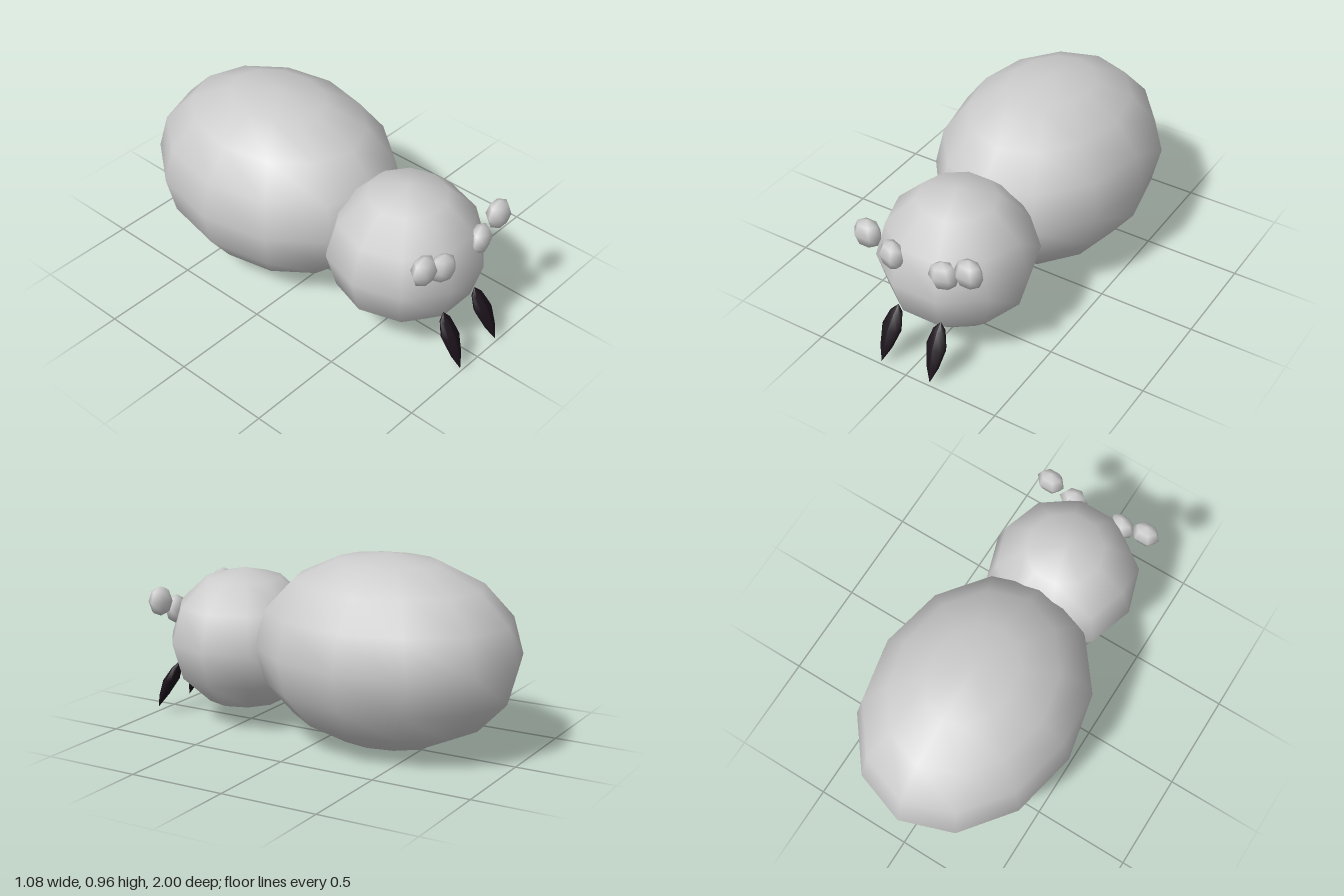
import * as THREE from 'three';

const grey = new THREE.MeshStandardMaterial({ color: 0xcccccc });
const dark = new THREE.MeshStandardMaterial({ color: 0x1a121a });

// Smooth low-poly ellipsoid with its poles on y
function ellipsoid(name, radii, position, widthSegments, heightSegments) {
  const geometry = new THREE.SphereGeometry(1, widthSegments, heightSegments);
  geometry.scale(...radii);
  const mesh = new THREE.Mesh(geometry, grey);
  mesh.name = name;
  mesh.position.set(...position);
  return mesh;
}

// Pointed fang: a flattened spindle sheared forward and outward toward its tip
function fang(name, side) {
  const profile = [[0, 0.025], [0.034, 0.1], [0.055, 0.187], [0.034, 0.257], [0, 0.293]]
    .map(([r, y]) => new THREE.Vector2(r, y));
  const geometry = new THREE.LatheGeometry(profile, 8);
  const p = geometry.attributes.position;
  for (let i = 0; i < p.count; i++) {
    const y = p.getY(i);
    const t = (0.293 - y) / 0.268;
    p.setX(i, p.getX(i) + side * (0.12 + 0.018 * t));
    p.setZ(i, p.getZ(i) * 0.65 + 0.865 + 0.135 * t);
  }
  geometry.computeVertexNormals();
  const mesh = new THREE.Mesh(geometry, dark);
  mesh.name = name;
  return mesh;
}

export function createModel() {
  const model = new THREE.Group();
  model.name = 'spiderBody';

  // Body
  model.add(ellipsoid('abdomen', [0.54, 0.4825, 0.693], [0, 0.485, -0.307], 12, 8));
  model.add(ellipsoid('head', [0.392, 0.371, 0.395], [0, 0.439, 0.53], 10, 6));

  // Paired eyes and fangs
  for (const [label, side] of [['left', 1], ['right', -1]]) {
    model.add(ellipsoid(label + 'OuterEye', [0.077, 0.077, 0.055], [side * 0.279, 0.648, 0.858], 6, 4));
    const inner = ellipsoid(label + 'InnerEye', [0.076, 0.076, 0.052], [side * 0.143, 0.581, 0.862], 6, 4);
    inner.rotation.set(0, side * 0.25, side * 0.1);
    model.add(inner);
    model.add(fang(label + 'Fang', side));
  }
  return model;
}
